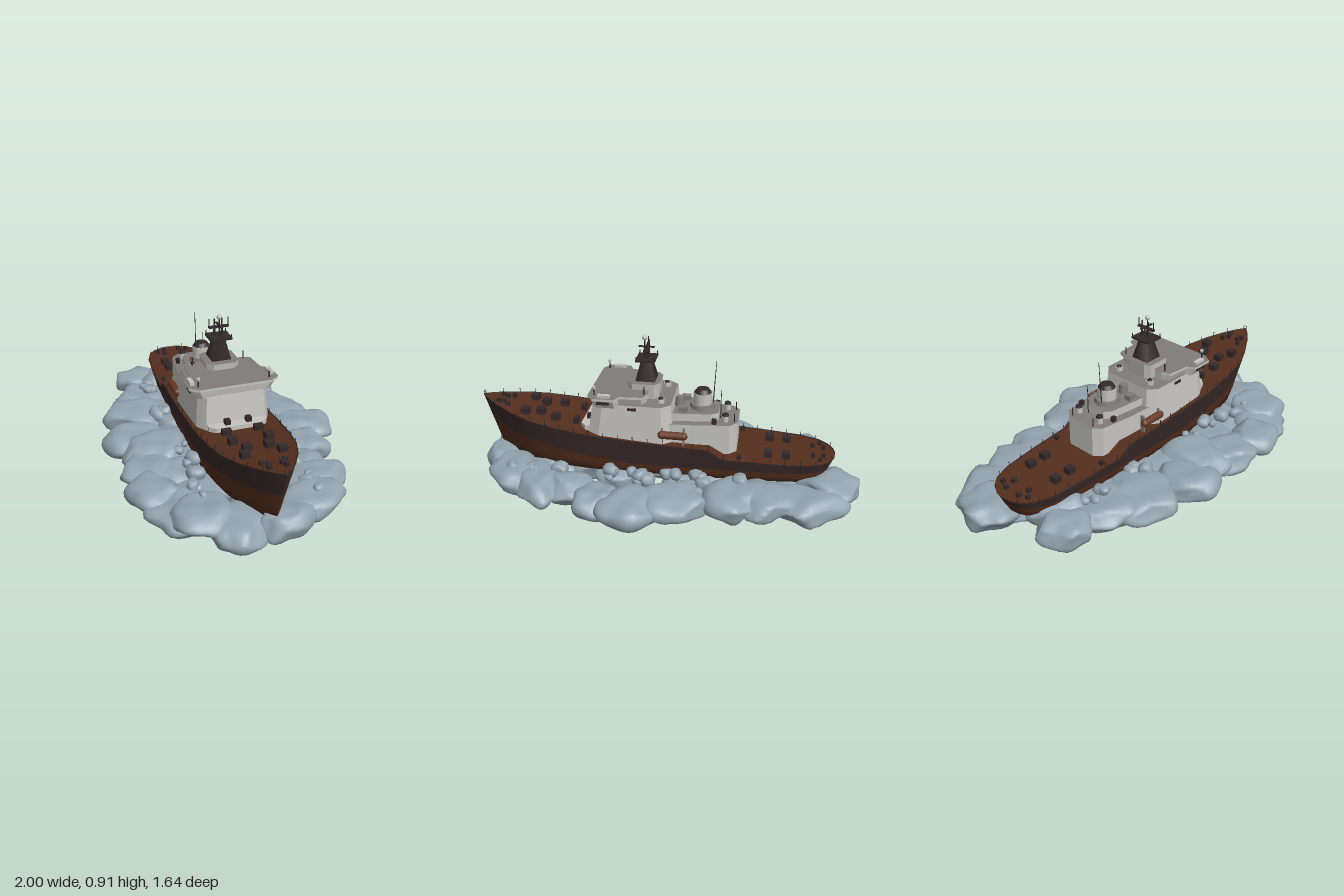
import * as THREE from 'three';
import { mergeVertices } from 'three/addons/utils/BufferGeometryUtils.js';

const mat = (name, color, side = THREE.FrontSide) => {
  const m = new THREE.MeshStandardMaterial({ color, side });
  m.name = name;
  return m;
};

export function createModel() {
  const ice = mat('ice', 0x93a3ae);
  const hullDark = mat('hull dark', 0x382a2a, THREE.DoubleSide);
  const rust = mat('rust brown', 0x542e1d, THREE.DoubleSide);
  const white = mat('pale grey', 0xc4c3bf);
  const roof = mat('roof grey', 0x7f7c79);
  const dark = mat('dark fittings', 0x33292a);
  const boat = mat('lifeboat brown', 0x673823);

  let seed = 7;
  const rnd = () => (seed = (seed * 16807) % 2147483647) / 2147483647;

  const model = new THREE.Group();
  const ship = new THREE.Group();
  ship.name = 'ship';
  ship.position.set(0.08, 0, 0.03);
  ship.rotation.y = -0.448;
  model.add(ship);

  // ship frame: x runs to the bow, z across
  const add = (name, geo, material, x = 0, y = 0, z = 0, parent = ship) => {
    const m = new THREE.Mesh(geo, material);
    m.name = name;
    m.position.set(x, y, z);
    parent.add(m);
    return m;
  };
  const box = (name, m, x, y, z, w, h, d) => add(name, new THREE.BoxGeometry(w, h, d), m, x, y + h / 2, z);
  const cyl = (name, m, x, y, z, r0, r1, h, n = 12) =>
    add(name, new THREE.CylinderGeometry(r1, r0, h, n), m, x, y + h / 2, z);

  // surface through rows of points
  const loft = (rows) => {
    const n = rows[0].length, idx = [];
    for (let i = 0; i < rows.length - 1; i++)
      for (let j = 0; j < n - 1; j++) {
        const a = i * n + j, b = a + n;
        idx.push(a, a + 1, b, b, a + 1, b + 1);
      }
    const g = new THREE.BufferGeometry();
    g.setAttribute('position', new THREE.Float32BufferAttribute(rows.flat(2), 3));
    g.setIndex(idx);
    g.computeVertexNormals();
    return g;
  };

  // hull stations: position, half beam, deck height
  const stations = [
    [-1.086, 0, 0.258], [-1.078, 0.055, 0.258], [-1.05, 0.11, 0.258], [-1.0, 0.155, 0.26], [-0.9, 0.19, 0.263],
    [-0.7, 0.211, 0.27], [-0.46, 0.223, 0.28], [-0.38, 0.226, 0.333], [-0.2, 0.232, 0.343], [0.05, 0.235, 0.358],
    [0.3, 0.235, 0.376], [0.5, 0.224, 0.4], [0.65, 0.2, 0.42], [0.77, 0.155, 0.44], [0.88, 0.092, 0.46],
    [0.95, 0.04, 0.473], [0.99, 0, 0.48],
  ];
  const keelY = 0.145;
  // point on the side, t = 0 at the keel and 1 at the deck edge
  const sidePoint = ([u, b, y], t, s) => {
    const f = Math.max(0, (u - 0.4) / 0.6), k = Math.max(0, (-u - 0.8) / 0.3);
    const d = 1 - t;
    return [u - 0.11 * d * f * f + 0.05 * d * k, keelY + (y - keelY) * t, s * b * (1 - d * (0.14 + 0.38 * f))];
  };
  const split = ([u, , y]) => (0.205 + 0.13 * Math.max(0, (u - 0.1) / 0.9) - keelY) / (y - keelY);
  add('lowerHull', loft(stations.map((s) => {
    const t = split(s);
    return [sidePoint(s, t, 1), sidePoint(s, t / 2, 1), sidePoint(s, 0, 1), sidePoint(s, 0, -1),
      sidePoint(s, t / 2, -1), sidePoint(s, t, -1)];
  })), rust);
  for (const s of [1, -1])
    add('upperHull', loft(stations.map((p) => [0, 0.5, 1].map((k) => sidePoint(p, split(p) + (1 - split(p)) * k, s)))), hullDark);
  add('deck', loft(stations.map(([u, b, y]) => [[u, y - 0.006, b], [u, y - 0.006, -b]])), rust);

  const at = (u) => {
    let i = 0;
    while (i < stations.length - 2 && stations[i + 1][0] < u) i++;
    const p = stations[i], q = stations[i + 1], k = (u - p[0]) / (q[0] - p[0]);
    return [p[1] + (q[1] - p[1]) * k, p[2] + (q[2] - p[2]) * k];
  };

  // rail posts along the deck edge
  for (let u = -1.06; u < 0.99; u += 0.085)
    for (const s of [1, -1]) {
      const [b, y] = at(u);
      cyl('railPost', dark, u, y - 0.006, s * b * 0.97, 0.002, 0.002, 0.03, 5);
    }

  // hatches, winches and bollards
  for (const s of [1, -1]) {
    for (const u of [-0.81, -0.71, 0.52, 0.62, 0.7])
      box('hatch', dark, u, at(u)[1] - 0.01, s * (u === 0.62 ? 0.06 : 0.1), 0.046, 0.038, 0.046);
    for (const [u, v] of [[-1.02, 0.05], [-1.0, 0.1], [-0.96, 0.06], [0.85, 0.035], [0.88, 0.045], [0.82, 0.06], [-0.55, 0.18]])
      box('bollard', dark, u, at(u)[1] - 0.01, s * v, 0.022, 0.026, 0.022);
    box('winch', dark, 0.4, 0.375, s * 0.09, 0.03, 0.04, 0.05);
  }

  // a deckhouse tier from half of its plan; the foot is scaled by footX, footZ
  const tier = (name, half, y0, y1, footX = 1, footZ = 1, cap = roof) => {
    const pts = [...half, ...half.slice().reverse().map(([u, v]) => [u, -v])];
    const geo = new THREE.ExtrudeGeometry(new THREE.Shape(pts.map(([u, v]) => new THREE.Vector2(u, v))),
      { depth: y1 - y0, bevelEnabled: false });
    geo.rotateX(-Math.PI / 2);
    const p = geo.attributes.position;
    for (let i = 0; i < p.count; i++)
      if (p.getY(i) < 1e-4) { p.setX(i, p.getX(i) * footX); p.setZ(i, p.getZ(i) * footZ); }
    geo.computeVertexNormals();
    return add(name, geo, [cap, white], 0, y0, 0);
  };
  tier('aftDeckhouse', [[-0.53, 0.09], [-0.49, 0.135], [-0.3, 0.16], [-0.08, 0.175]], 0.27, 0.45);
  tier('aftUpperDeckhouse', [[-0.42, 0.07], [-0.38, 0.1], [-0.1, 0.13]], 0.45, 0.495);
  tier('mainDeckhouse', [[-0.16, 0.15], [-0.11, 0.195], [0.22, 0.195], [0.28, 0.16]], 0.33, 0.557, 1.12, 1.08);
  tier('foreStep', [[0.2, 0.17], [0.33, 0.165], [0.36, 0.13]], 0.36, 0.402, 1, 1, white);
  tier('bridge', [[-0.02, 0.14], [0.0, 0.19], [0.13, 0.2], [0.15, 0.245], [0.255, 0.245], [0.285, 0.2]], 0.545, 0.6, 0.97, 0.88);
  tier('bridgeRoof', [[-0.03, 0.145], [-0.01, 0.195], [0.12, 0.205], [0.14, 0.252], [0.262, 0.252], [0.297, 0.2]], 0.598, 0.612);
  tier('mastHouse', [[-0.085, 0.06], [-0.06, 0.095], [0.07, 0.095], [0.1, 0.06]], 0.557, 0.648, 0.9, 0.9);
  for (const s of [1, -1]) {
    box('sideWindow', dark, 0.05, 0.53, s * 0.199, 0.05, 0.014, 0.008);
    box('wingWindow', dark, 0.205, 0.573, s * 0.238, 0.07, 0.017, 0.009);
    box('wingLocker', white, 0.2, 0.612, s * 0.225, 0.07, 0.016, 0.025);
    cyl('wingPost', dark, 0.26, 0.61, s * 0.2, 0.004, 0.004, 0.05, 6);
    cyl('lampHead', white, 0.26, 0.65, s * 0.2, 0.01, 0.01, 0.014, 8);
    cyl('sidePost', dark, -0.01, 0.61, s * 0.15, 0.004, 0.003, 0.05, 6);
    // lifeboats and their davits
    const b = add('lifeboat', new THREE.CapsuleGeometry(0.022, 0.125, 5, 12), boat, -0.18, 0.402, s * 0.212);
    b.rotation.z = Math.PI / 2;
    for (const u of [-0.24, -0.12]) box('davit', roof, u, 0.34, s * 0.195, 0.01, 0.1, 0.025);
    // vents, lockers and rafts on the aft roofs
    cyl('vent', white, -0.46, 0.45, s * 0.08, 0.018, 0.018, 0.035);
    cyl('ventCap', dark, -0.46, 0.485, s * 0.08, 0.02, 0.016, 0.012);
    box('aftLocker', roof, -0.22, 0.495, s * 0.08, 0.05, 0.03, 0.035);
    box('roofBox', dark, -0.4, 0.45, s * 0.125, 0.025, 0.03, 0.02);
    cyl('aftPost', dark, -0.51, 0.45, s * 0.08, 0.003, 0.003, 0.05, 5);
    cyl('raft', white, -0.1, 0.557, s * 0.12, 0.022, 0.022, 0.022);
    cyl('raftCap', dark, -0.1, 0.579, s * 0.12, 0.016, 0.012, 0.008);
    box('stepBox', dark, 0.325, 0.402, s * 0.06, 0.03, 0.028, 0.03);
  }

  // funnel and whip aerials
  cyl('funnelBase', roof, -0.322, 0.49, 0, 0.075, 0.068, 0.03, 8);
  cyl('funnel', white, -0.322, 0.5, 0, 0.054, 0.054, 0.085, 16);
  cyl('funnelCap', dark, -0.322, 0.585, 0, 0.05, 0.034, 0.022, 16);
  cyl('aerial', dark, -0.385, 0.45, 0.016, 0.004, 0.0015, 0.32, 5).rotation.z = 0.05;
  cyl('shortAerial', dark, -0.43, 0.45, -0.04, 0.003, 0.0015, 0.17, 5);
  cyl('crane', roof, -0.19, 0.495, 0, 0.028, 0.022, 0.055, 10);

  // mast with platforms, yards and radar dome
  const tower = cyl('mastTower', dark, 0, 0.645, 0, 0.08, 0.04, 0.12, 4);
  tower.geometry.rotateY(Math.PI / 4);
  box('mastPlatform', dark, 0, 0.765, 0, 0.11, 0.012, 0.125);
  for (const [u, v] of [[0.05, 0.058], [0.05, -0.058], [-0.05, 0.058], [-0.05, -0.058]])
    cyl('platformPost', dark, u, 0.765, v, 0.003, 0.003, 0.03, 5);
  for (const s of [1, -1]) cyl('mastPole', dark, -0.01, 0.775, s * 0.022, 0.007, 0.004, 0.1, 6);
  box('radarBar', dark, 0, 0.825, 0, 0.02, 0.01, 0.115);
  box('yard', dark, 0, 0.835, 0, 0.09, 0.007, 0.012);
  for (const s of [1, -1]) cyl('yardTip', dark, 0, 0.83, s * 0.055, 0.003, 0.003, 0.05, 5);
  cyl('domePole', dark, 0.01, 0.775, 0, 0.005, 0.004, 0.105, 6);
  add('radarDome', new THREE.SphereGeometry(0.015, 14, 10), white, 0.01, 0.89, 0);

  // ice lumps: a slightly wavy sphere cut by random planes
  const floe = new THREE.Group();
  floe.name = 'iceField';
  model.add(floe);
  const lump = (x, y, z, rx, ry, rz, turn = 0) => {
    const planes = Array.from({ length: 12 }, () => {
      const a = rnd() * Math.PI * 2, h = rnd() * 1.8 - 0.9, r = Math.sqrt(1 - h * h);
      return [new THREE.Vector3(r * Math.cos(a), h, r * Math.sin(a)), 0.7 + rnd() * 0.25];
    });
    planes.push([new THREE.Vector3(0.3 * (rnd() - 0.5), 1, 0.3 * (rnd() - 0.5)), 0.74]);
    const wave = rnd() * 6;
    let g = new THREE.IcosahedronGeometry(1, rx > 0.06 ? 6 : 2);
    g.deleteAttribute('uv');
    g.deleteAttribute('normal');
    g = mergeVertices(g, 1e-4);
    const p = g.attributes.position, v = new THREE.Vector3();
    for (let i = 0; i < p.count; i++) {
      v.fromBufferAttribute(p, i).normalize();
      let r = 1;
      for (const [n, d] of planes) if (n.dot(v) > 0.01) r = Math.min(r, d / n.dot(v));
      r *= 1 + 0.07 * Math.sin(5 * v.x + wave) * Math.cos(5 * v.z + 2 * wave);
      p.setXYZ(i, v.x * r * rx, v.y * r * ry, v.z * r * rz);
    }
    g.computeVertexNormals();
    add('iceLump', g, ice, x, y, z, floe).rotation.y = turn;
  };
  // outer ring: x, z, half width, half depth
  const ring = [
    [-0.64, -0.65, 0.22, 0.17], [-0.82, -0.55, 0.18, 0.17], [-0.4, -0.56, 0.19, 0.19], [-0.24, -0.52, 0.16, 0.2],
    [0.07, -0.46, 0.2, 0.16], [0.31, -0.44, 0.18, 0.17], [0.47, -0.31, 0.13, 0.13], [0.58, -0.12, 0.13, 0.16],
    [0.75, -0.06, 0.14, 0.2], [0.86, 0.12, 0.14, 0.21], [0.88, 0.33, 0.11, 0.17], [0.73, 0.53, 0.17, 0.16],
    [0.57, 0.62, 0.16, 0.17], [0.45, 0.65, 0.18, 0.17], [0.25, 0.65, 0.16, 0.15], [0.05, 0.53, 0.18, 0.18],
    [-0.08, 0.38, 0.18, 0.2], [-0.27, 0.38, 0.19, 0.18], [-0.5, 0.15, 0.21, 0.22], [-0.65, 0.0, 0.18, 0.2],
    [-0.87, -0.12, 0.14, 0.14], [-0.74, -0.22, 0.15, 0.16],
  ];
  for (const [x, z, rx, rz] of ring) lump(x, 0.092 + rnd() * 0.03, z, rx * 1.08, 0.095, rz * 1.08);
  // floor beneath and beside the hull
  const floor = [
    [-0.5, -0.3, 0.2, 0.17], [-0.28, 0.02, 0.18, 0.2], [-0.14, -0.22, 0.19, 0.16], [0.1, 0.16, 0.2, 0.16],
    [0.26, -0.04, 0.17, 0.16], [0.38, 0.4, 0.18, 0.17], [0.6, 0.22, 0.17, 0.18], [-0.45, -0.06, 0.15, 0.14],
    [-0.12, 0.22, 0.16, 0.15], [0.2, 0.42, 0.16, 0.15], [-0.7, -0.4, 0.18, 0.15], [0.4, 0.12, 0.15, 0.15],
    [-0.06, -0.02, 0.15, 0.14], [-0.08, -0.36, 0.13, 0.11],
  ];
  for (const [x, z, rx, rz] of floor) lump(x, 0.095, z, rx * 1.08, 0.08, rz * 1.08);

  // brash ice along the waterline
  for (let i = 0; i < 44; i++) {
    const u = -0.75 + 1.5 * rnd(), v = (i % 2 ? 1 : -1) * (0.22 + rnd() * 0.09), r = 0.02 + rnd() * 0.03;
    lump(0.08 + 0.901 * u - 0.433 * v, 0.15 + rnd() * 0.035, 0.03 + 0.433 * u + 0.901 * v, r * 1.2, r, r, rnd() * 6);
  }
  return model;
}
